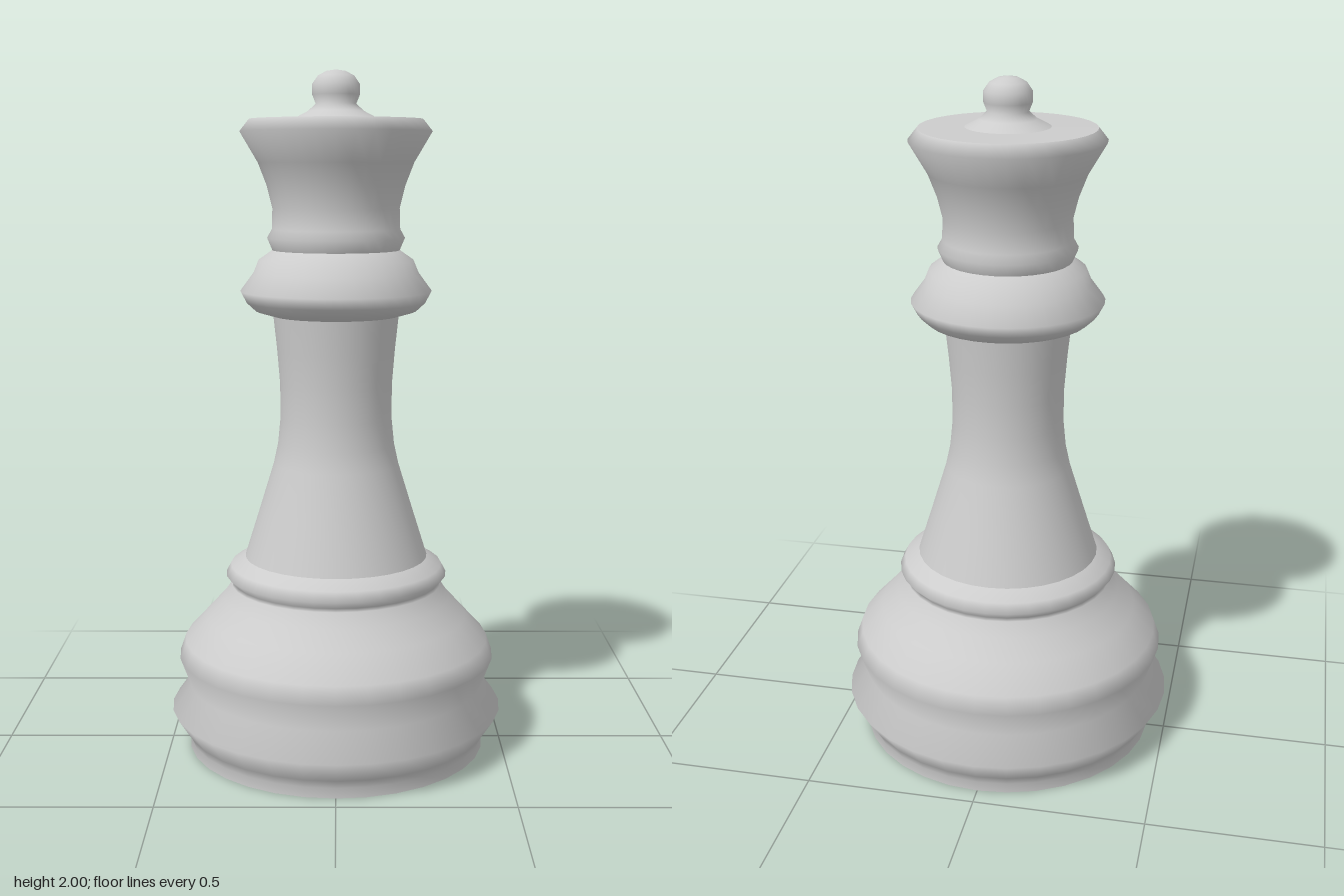
import * as THREE from 'three';

const SIDES = 32;

export function createModel() {
  const group = new THREE.Group();
  const grey = new THREE.MeshStandardMaterial({ color: 0xcccccc });
  grey.name = 'light grey';

  // Turn a [radius, height] profile, listed bottom to top, about the y axis
  const turn = (name, profile) => {
    const points = profile.map(([r, y]) => new THREE.Vector2(r, y));
    const mesh = new THREE.Mesh(new THREE.LatheGeometry(points, SIDES), grey);
    mesh.name = name;
    group.add(mesh);
  };

  // Flat underside
  turn('underside', [[0, 0], [0.445, 0]]);

  // Wide foot with two swells and a ring on top
  turn('base', [
    [0.445, 0], [0.445, 0.03], [0.455, 0.055], [0.497, 0.12], [0.442, 0.195],
    [0.473, 0.28], [0.455, 0.33], [0.39, 0.4], [0.34, 0.455], [0.313, 0.495],
    [0.31, 0.505], [0.33, 0.527], [0.315, 0.555], [0.272, 0.58],
  ]);

  // Tapering stem
  turn('stem', [
    [0.272, 0.58], [0.228, 0.72], [0.185, 0.86], [0.172, 0.92], [0.164, 1.0],
    [0.165, 1.1], [0.173, 1.2], [0.184, 1.305],
  ]);

  // Flared collar under the head
  turn('collar', [
    [0.184, 1.3], [0.235, 1.315], [0.262, 1.34], [0.279, 1.372], [0.24, 1.425],
    [0.225, 1.462], [0.185, 1.49],
  ]);

  // Head with a neck ring, flared sides and a flat top
  turn('head', [
    [0.185, 1.49], [0.2, 1.525], [0.186, 1.55], [0.184, 1.61], [0.2, 1.675],
    [0.225, 1.74], [0.277, 1.828], [0.25, 1.862],
  ]);
  turn('headTop', [[0.25, 1.862], [0.12, 1.864]]);

  // Small knob on a sloped foot
  turn('knob', [
    [0.12, 1.864], [0.08, 1.885], [0.058, 1.905], [0.068, 1.93], [0.068, 1.96],
    [0.052, 1.983], [0.028, 1.996], [0, 2],
  ]);

  return group;
}
